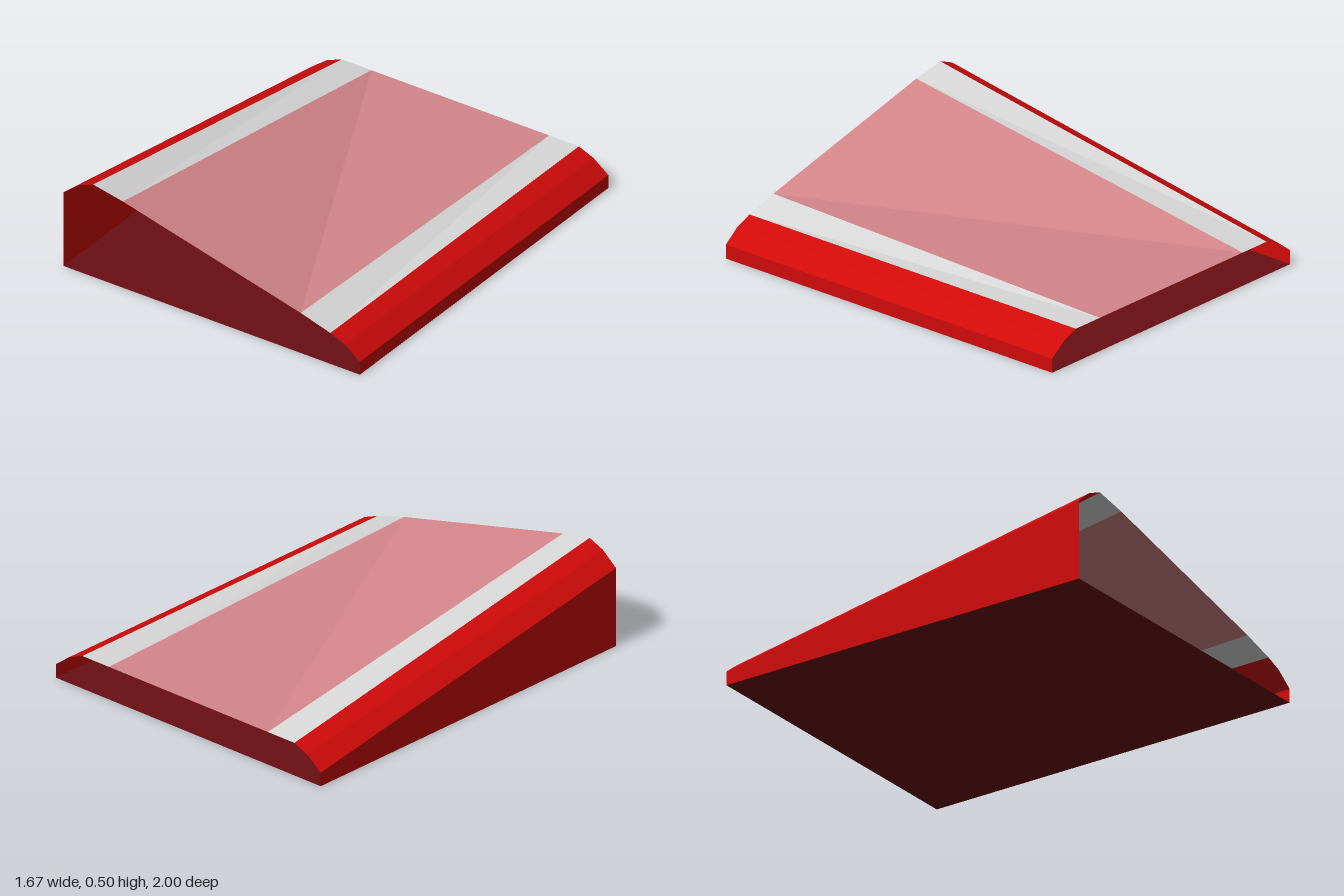
import * as THREE from 'three';

// Open-ended track wedge: a closed cross-section, low at the back, with one front corner raised.
const colour = (name, color) =>
  Object.assign(new THREE.MeshStandardMaterial({ color, side: THREE.DoubleSide }), { name });

const red = colour('red', 0xd00a0a);
const grey = colour('light grey', 0xd8d8d8);
const pink = colour('dusty pink', 0xd4868a);
const darkRed = colour('dark red', 0x6a0e12);

// Stations around the section: [x, height at back, height at front]
const section = [
  [-0.833, 0, 0],
  [-0.833, 0.07, 0.4],
  [-0.75, 0.133, 0.467],
  [-0.667, 0.167, 0.5],
  [-0.5, 0.167, 0.467],
  [0.5, 0.167, 0.217],
  [0.667, 0.167, 0.167],
  [0.75, 0.133, 0.133],
  [0.833, 0.07, 0.07],
  [0.833, 0, 0],
];

// One panel per pair of neighbouring stations; the last one closes the loop
const panels = [
  ['rightWall', red],
  ['rightKerbOuter', red],
  ['rightKerbInner', red],
  ['rightEdgeStrip', grey],
  ['rampSurface', pink],
  ['leftEdgeStrip', grey],
  ['leftKerbInner', red],
  ['leftKerbOuter', red],
  ['leftWall', red],
  ['basePlate', darkRed],
];

// Flat panel from the back (z = -1) to the front (z = 1)
function panel([x0, back0, front0], [x1, back1, front1]) {
  const a = [x0, back0, -1], b = [x0, front0, 1];
  const c = [x1, front1, 1], d = [x1, back1, -1];
  const geometry = new THREE.BufferGeometry();
  geometry.setAttribute('position',
    new THREE.Float32BufferAttribute([a, b, c, a, c, d].flat(), 3));
  geometry.computeVertexNormals();
  return geometry;
}

export function createModel() {
  const model = new THREE.Group();
  model.name = 'cornerRamp';
  panels.forEach(([name, material], i) => {
    const next = section[(i + 1) % section.length];
    const mesh = new THREE.Mesh(panel(section[i], next), material);
    mesh.name = name;
    model.add(mesh);
  });
  return model;
}
